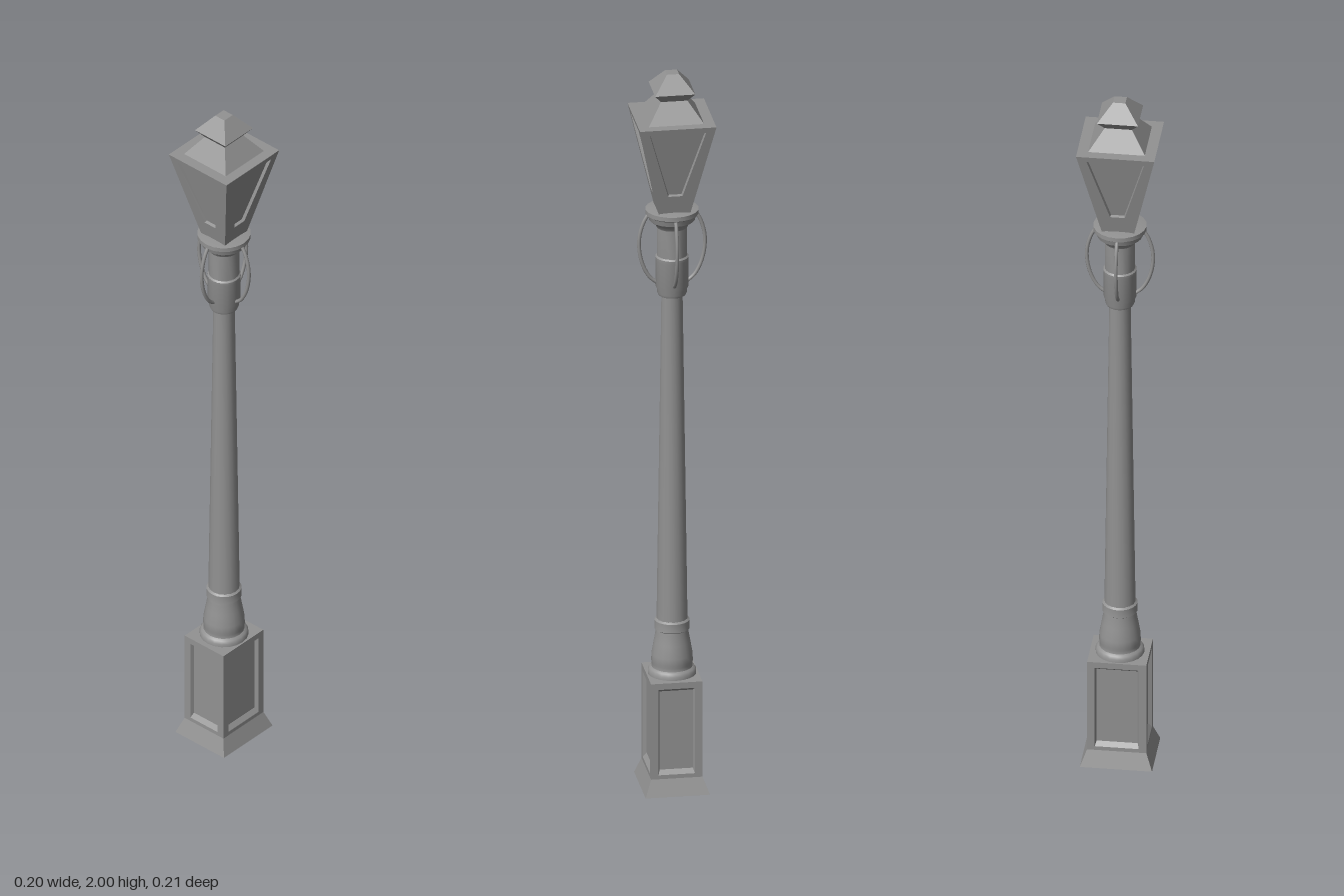
import * as THREE from 'three';
import { toCreasedNormals } from 'three/addons/utils/BufferGeometryUtils.js';

const material = new THREE.MeshStandardMaterial({ color: 0x929292, side: THREE.DoubleSide });

function addMesh(parent, name, geometry) {
  const mesh = new THREE.Mesh(geometry, material);
  mesh.name = name;
  parent.add(mesh);
  return mesh;
}

// Flat-faced skin through four-cornered rings; the last ring is closed.
function quadRings(rings) {
  const pos = [];
  const quad = (a, b, c, d) => pos.push(...a, ...b, ...c, ...a, ...c, ...d);
  for (let r = 0; r + 1 < rings.length; r++) {
    const lo = rings[r], hi = rings[r + 1];
    for (let i = 0; i < 4; i++) {
      const j = (i + 1) % 4;
      quad(lo[i], lo[j], hi[j], hi[i]);
    }
  }
  quad(...rings[rings.length - 1]);
  const g = new THREE.BufferGeometry();
  g.setAttribute('position', new THREE.Float32BufferAttribute(pos, 3));
  g.computeVertexNormals();
  return g;
}

// Rectangular tower from [halfX, halfZ, y] levels.
const squareStack = (levels) => quadRings(levels.map(([x, z, y]) =>
  [[-x, y, z], [x, y, z], [x, y, -z], [-x, y, -z]]));

// Recessed side panel from [halfBottom, yBottom, halfTop, yTop, depth] rings;
// out(y) is the distance of the wall from the axis.
const panel = (rings, out) => quadRings(rings.map(([b, y0, t, y1, d]) => [
  [-b, y0, out(y0) - d], [b, y0, out(y0) - d], [t, y1, out(y1) - d], [-t, y1, out(y1) - d]]));

function turned(profile, segments = 20) {
  const points = profile.map(([r, y]) => new THREE.Vector2(r, y));
  return toCreasedNormals(new THREE.LatheGeometry(points, segments), 0.6);
}

export function createModel() {
  const model = new THREE.Group();
  model.name = 'streetLamp';

  // Pedestal: flared foot, four panelled walls and a flat top
  const HX = 0.068, HZ = 0.078;
  const pedestal = new THREE.Group();
  pedestal.name = 'pedestal';
  model.add(pedestal);
  addMesh(pedestal, 'foot', squareStack([
    [0.001, 0.001, 0], [0.085, 0.095, 0], [HX, HZ, 0.045]]));
  for (let k = 0; k < 4; k++) {
    const [w, d] = k % 2 ? [HZ, HX] : [HX, HZ];
    const wall = addMesh(pedestal, 'pedestalWall', panel([
      [w, 0.045, w, 0.313, 0],
      [w - 0.02, 0.056, w - 0.02, 0.296, 0],
      [w - 0.024, 0.068, w - 0.024, 0.288, 0.01]], () => d));
    wall.rotation.y = k * Math.PI / 2;
  }
  addMesh(pedestal, 'pedestalTop', squareStack([[HX, HZ, 0.312], [HX, HZ, 0.313]]));

  // Turned base of the shaft
  addMesh(model, 'shaftBase', turned([
    [0.064, 0.312], [0.064, 0.322], [0.06, 0.329], [0.054, 0.333], [0.053, 0.342],
    [0.055, 0.35], [0.054, 0.368], [0.048, 0.402], [0.043, 0.43], [0.042, 0.436],
    [0.046, 0.439], [0.046, 0.463], [0.04, 0.468]]));

  // Tapered shaft
  addMesh(model, 'shaft', turned([[0.041, 0.465], [0.028, 1.385]], 16));

  // Upper sleeve with a thicker lower half, and flared collar beneath the lantern
  addMesh(model, 'sleeve', turned([
    [0.026, 1.376], [0.036, 1.377], [0.039, 1.384], [0.039, 1.392], [0.043, 1.402],
    [0.043, 1.476], [0.044, 1.48], [0.044, 1.484], [0.04, 1.488], [0.04, 1.57]]));
  addMesh(model, 'collar', turned([
    [0.039, 1.565], [0.045, 1.577], [0.06, 1.588], [0.064, 1.602],
    [0.07, 1.606], [0.07, 1.618], [0.045, 1.622], [0.001, 1.622]]));

  // Four bowed brackets around the sleeve
  const bow = new THREE.CatmullRomCurve3([
    [0.058, 1.612], [0.075, 1.582], [0.086, 1.542], [0.086, 1.502],
    [0.076, 1.46], [0.058, 1.427], [0.036, 1.409],
  ].map(([x, y]) => new THREE.Vector3(x, y, 0)));
  for (let k = 0; k < 4; k++) {
    const bracket = addMesh(model, 'bracket', new THREE.TubeGeometry(bow, 24, 0.005, 8));
    bracket.rotation.y = k * Math.PI / 2;
  }

  // Lantern: four leaning walls with recessed panes, stepped roof and cap
  const lantern = new THREE.Group();
  lantern.name = 'lantern';
  lantern.scale.z = 1.02;
  model.add(lantern);
  const lean = (y) => 0.041 + (y - 1.615) * (0.101 - 0.041) / (1.879 - 1.615);
  for (let k = 0; k < 4; k++) {
    const wall = addMesh(lantern, 'lanternWall', panel([
      [lean(1.615), 1.615, 0.101, 1.879, 0],
      [0.019, 1.672, 0.074, 1.863, 0],
      [0.017, 1.675, 0.071, 1.86, 0.008]], lean));
    wall.rotation.y = k * Math.PI / 2;
  }
  addMesh(lantern, 'roof', squareStack([
    [0.101, 0.101, 1.879], [0.073, 0.073, 1.879], [0.035, 0.035, 1.932]]));
  addMesh(lantern, 'cap', squareStack([
    [0.035, 0.035, 1.932], [0.053, 0.053, 1.955], [0.016, 0.016, 2]]));

  return model;
}
